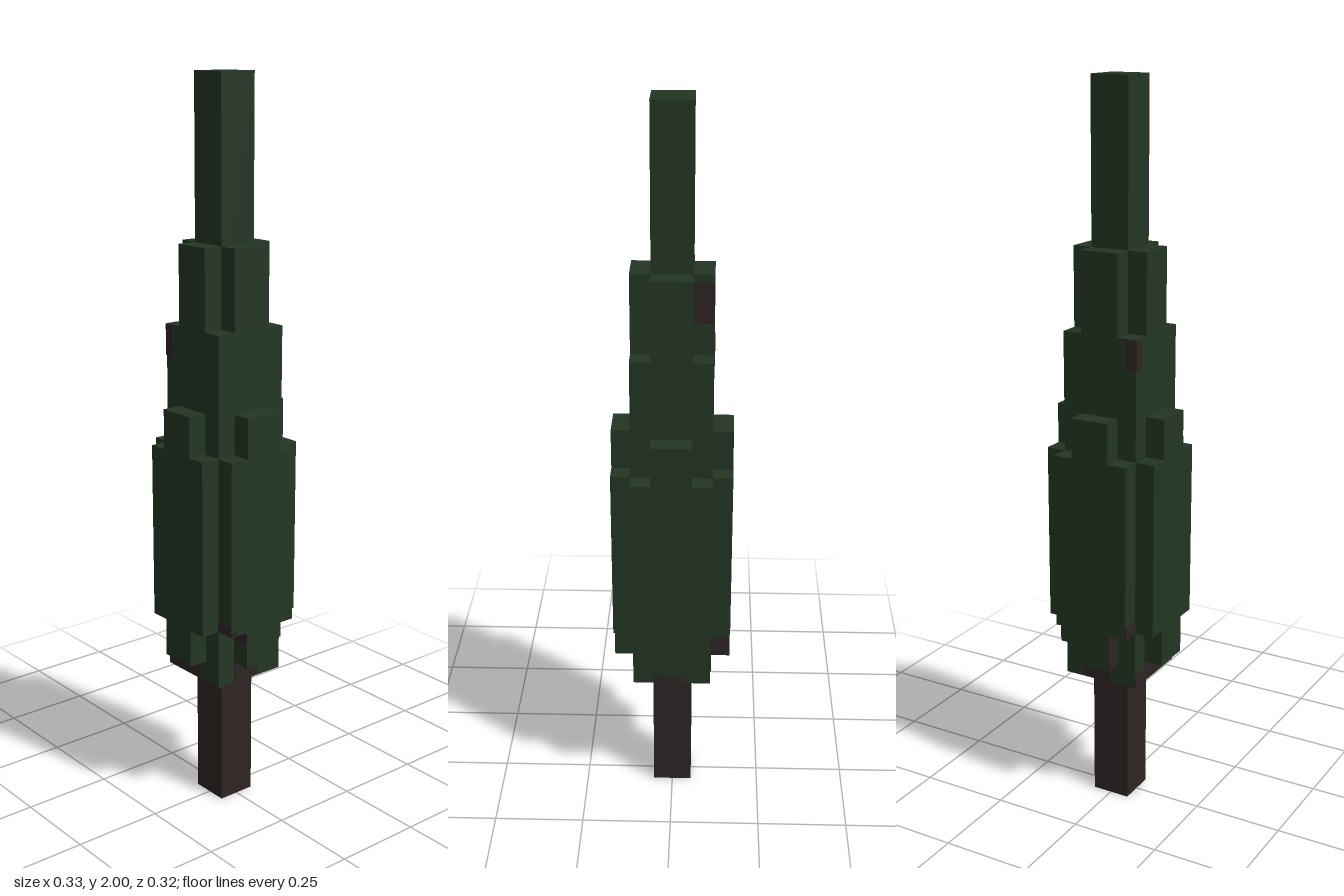
import * as THREE from 'three';

export function createModel() {
  const model = new THREE.Group();
  model.name = 'blockyTree';

  const needles = new THREE.MeshStandardMaterial({ color: 0x233624 });
  needles.name = 'needleGreen';
  const bark = new THREE.MeshStandardMaterial({ color: 0x2e2424 });
  bark.name = 'barkBrown';

  const U = 0.054; // block module: parts are 1, 2 and 3 modules from the axis

  function box(name, material, x0, x1, y0, y1, z0, z1, parent = model) {
    const mesh = new THREE.Mesh(new THREE.BoxGeometry(x1 - x0, y1 - y0, z1 - z0), material);
    mesh.position.set((x0 + x1) / 2, (y0 + y1) / 2, (z0 + z1) / 2);
    mesh.name = name;
    parent.add(mesh);
  }

  // Central column
  box('trunk', bark, -U, U, 0, 0.38, -U, U);
  box('foliageCore', needles, -2 * U, 2 * U, 0.38, 1.355, -2 * U, 2 * U);
  box('topSpire', needles, -U, U, 1.355, 2, -U, U);

  // Stepped outline of the outer boughs: wide middle, narrow ends
  const outline = new THREE.Shape([
    [-U, 0.44], [U, 0.44], [U, 0.545], [2 * U, 0.545], [2 * U, 1.03], [U, 1.03],
    [U, 1.14], [-U, 1.14], [-U, 1.03], [-2 * U, 1.03], [-2 * U, 0.545], [-U, 0.545],
  ].map(([x, y]) => new THREE.Vector2(x, y)));
  const boughGeometry = new THREE.ExtrudeGeometry(outline, { depth: U, bevelEnabled: false });
  boughGeometry.translate(0, 0, 2 * U);

  // The same boughs on all four sides
  for (let i = 0; i < 4; i++) {
    const side = new THREE.Group();
    side.name = 'boughSide' + (i + 1);
    side.rotation.y = (i * Math.PI) / 2;
    const bough = new THREE.Mesh(boughGeometry, needles);
    bough.name = 'outerBough';
    side.add(bough);
    box('upperBough', needles, -U, U, 1.355, 1.57, U, 2 * U, side);
    // Bare bark showing under the bough
    box('barkPatch', bark, -U, 0.03, 0.382, 0.44, 2 * U - 0.002, 2 * U + 0.002, side);
    model.add(side);
  }

  // Bark showing through on single faces, as thin plates
  const t = 0.002;
  const patches = [
    [-2 * U, -U, 0.382, 0.42, 2 * U - t, 2 * U + t],
    [-2 * U - t, -0.08, 1.27, 1.353, 2 * U - t, 2 * U + t],
    [-2 * U - t, -2 * U + t, 1.27, 1.353, 0.08, 2 * U + t],
    [-3 * U, -2 * U, 0.442, 0.545, U - t, U + t],
    [-3 * U, -2 * U, 0.547, 0.58, 2 * U - t, 2 * U + t],
    [2 * U, 3 * U, 0.51, 0.545, U - t, U + t],
    [2 * U, 3 * U, 0.547, 0.575, 2 * U - t, 2 * U + t],
    [3 * U - t, 3 * U + t, 0.547, 0.56, 0.085, 2 * U],
    [-3 * U, -2 * U, 0.442, 0.5, -U - t, -U + t],
    [-2 * U, -U, 1.44, 1.55, -U - t, -U + t],
  ];
  for (const [x0, x1, y0, y1, z0, z1] of patches) box('barkPatch', bark, x0, x1, y0, y1, z0, z1);

  return model;
}
